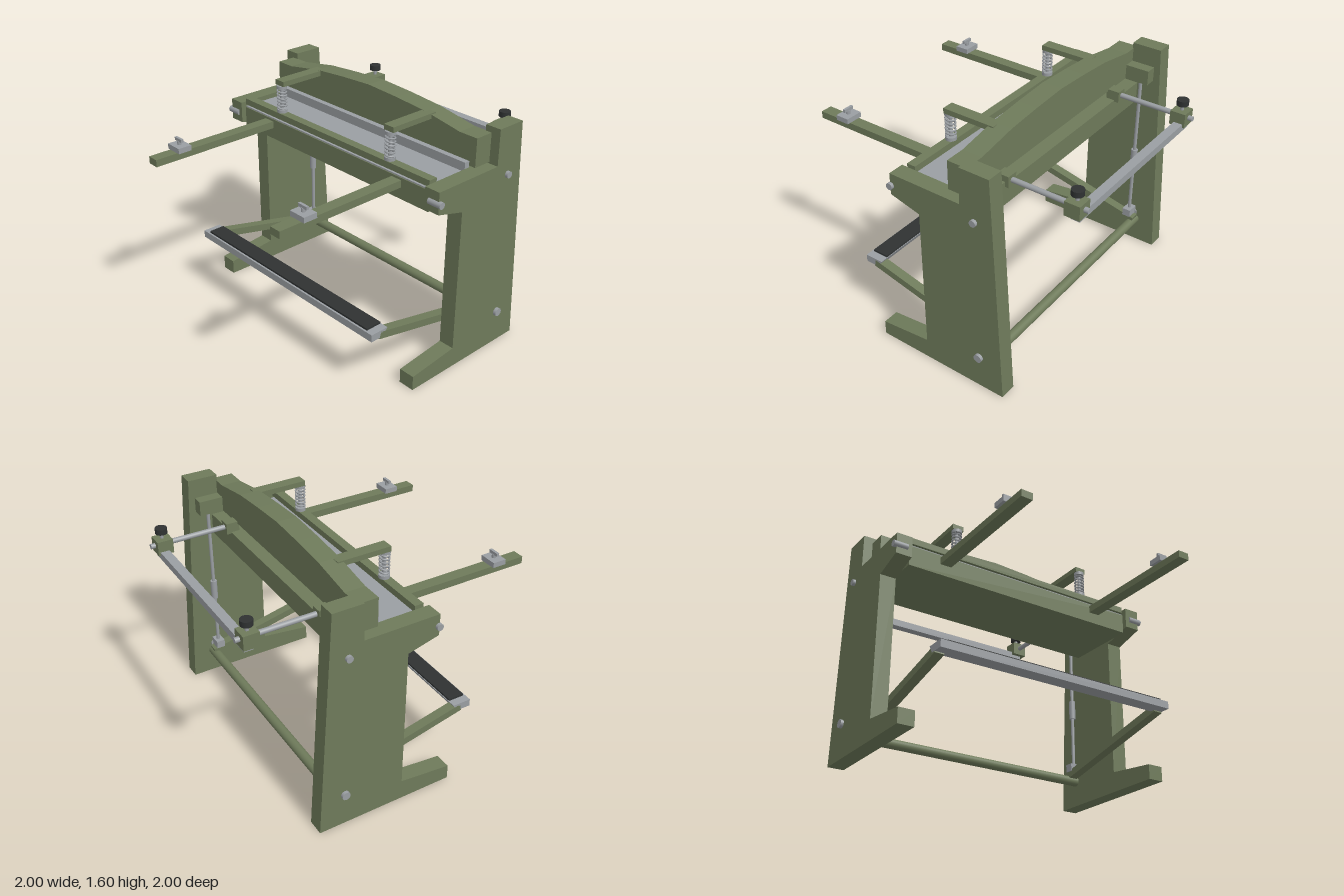
import * as THREE from 'three';

const paint = new THREE.MeshStandardMaterial({ color: 0x6e7a5a });
const steel = new THREE.MeshStandardMaterial({ color: 0x9a9ea2 });
const black = new THREE.MeshStandardMaterial({ color: 0x2f3232 });

export function createModel() {
  const model = new THREE.Group();
  model.name = 'treadleShear';

  const add = (name, geometry, material) => {
    const mesh = new THREE.Mesh(geometry, material);
    mesh.name = name;
    model.add(mesh);
    return mesh;
  };
  // Box given by its limits on each axis
  const box = (name, mat, x0, x1, y0, y1, z0, z1) => {
    const m = add(name, new THREE.BoxGeometry(Math.abs(x1 - x0), y1 - y0, z1 - z0), mat);
    m.position.set((x0 + x1) / 2, (y0 + y1) / 2, (z0 + z1) / 2);
    return m;
  };
  // Cylinder between two points
  const rod = (name, mat, r, a, b, sides = 24) => {
    const p = new THREE.Vector3(...a), q = new THREE.Vector3(...b);
    const dir = q.clone().sub(p);
    const m = add(name, new THREE.CylinderGeometry(r, r, dir.length(), sides), mat);
    m.position.copy(p).add(q).multiplyScalar(0.5);
    m.quaternion.setFromUnitVectors(new THREE.Vector3(0, 1, 0), dir.normalize());
    return m;
  };
  const extrude = (points, depth) => new THREE.ExtrudeGeometry(
    new THREE.Shape(points.map(([x, y]) => new THREE.Vector2(x, y))),
    { depth, bevelEnabled: false });

  // Side frame profile, drawn as (-z, y)
  const frame = [[-0.26, 0], [0.69, 0], [0.605, 1.56], [0.4, 1.56], [0.4, 1.32],
    [-0.11, 1.32], [-0.11, 1.175], [0.1, 1.12], [0.1, 0.14], [-0.26, 0.1]];

  // Steel coil around the hold-down rod
  const coil = [];
  for (let i = 0; i <= 96; i++) {
    const t = i / 96, a = t * Math.PI * 2 * 6;
    coil.push(new THREE.Vector3(Math.cos(a) * 0.03, 1.37 + t * 0.14, Math.sin(a) * 0.03));
  }
  const coilGeometry = new THREE.TubeGeometry(new THREE.CatmullRomCurve3(coil), 192, 0.006, 6);

  for (const s of [1, -1]) {
    const side = s > 0 ? 'left' : 'right';

    // Frame and its pins
    const f = add(side + 'SideFrame', extrude(frame, 0.11), paint);
    f.rotation.y = Math.PI / 2;
    f.position.x = s > 0 ? 0.87 : -0.98;
    rod(side + 'FrontPin', steel, 0.022, [s * 0.9, 1.24, 0.103], [s, 1.24, 0.103]);
    rod(side + 'UpperPin', steel, 0.022, [s * 0.9, 1.24, -0.5], [s, 1.24, -0.5]);
    rod(side + 'LowerPin', steel, 0.028, [s * 0.86, 0.235, -0.515], [s, 0.235, -0.515]);

    // Pull rod linking the blade beam and the treadle
    box(side + 'PullBlock', paint, s * 0.79, s * 0.868, 1.33, 1.43, -0.57, -0.4);
    rod(side + 'PullRod', steel, 0.012, [s * 0.83, 0.26, -0.5], [s * 0.83, 1.34, -0.5], 16);
    rod(side + 'Turnbuckle', steel, 0.023, [s * 0.83, 0.645, -0.5], [s * 0.83, 0.785, -0.5], 16);
    box(side + 'PullRodFork', steel, s * 0.785, s * 0.868, 0.235, 0.29, -0.53, -0.47);

    // Treadle arm
    const arm = box(side + 'TreadleArm', paint, s * 0.79, s * 0.855, -0.025, 0.025, -0.5, 0.5);
    arm.scale.z = 1.0;
    arm.rotation.x = -Math.atan(0.225);
    arm.position.set(s * 0.8225, 0.316, -0.06);

    // Sheet support arm with sliding stop
    const x = s * 0.605;
    box(side + 'SupportArm', paint, x - 0.04, x + 0.04, 1.217, 1.265, 0.06, 1.0);
    box(side + 'ArmStop', steel, x - 0.06, x + 0.06, 1.265, 1.3, 0.75, 0.845);
    rod(side + 'StopScrew', steel, 0.014, [x, 1.3, 0.798], [x, 1.325, 0.798], 16);
    box(side + 'StopWing', steel, x - 0.036, x + 0.036, 1.322, 1.343, 0.789, 0.807);

    // Back gauge rod, clamp and knob
    box(side + 'GaugeMount', paint, x - 0.037, x + 0.037, 1.27, 1.345, -0.485, -0.395);
    rod(side + 'GaugeRod', steel, 0.017, [x, 1.31, -0.44], [x, 1.31, -1]);
    box(side + 'GaugeClamp', paint, x - 0.052, x + 0.052, 1.257, 1.352, -0.97, -0.866);
    rod(side + 'KnobStem', steel, 0.012, [x, 1.35, -0.92], [x, 1.39, -0.92], 16);
    rod(side + 'GaugeKnob', black, 0.039, [x, 1.388, -0.92], [x, 1.425, -0.92], 20);

    // Spring-loaded hold-down
    const h = s * 0.51;
    box(side + 'SpringArm', paint, h - 0.04, h + 0.04, 1.532, 1.567, -0.31, 0.055);
    const spring = add(side + 'Spring', coilGeometry, steel);
    spring.position.set(h, 0, 0.037);
    rod(side + 'SpringRod', steel, 0.012, [h, 1.34, 0.037], [h, 1.54, 0.037], 16);
    rod(side + 'SpringSeat', steel, 0.035, [h, 1.343, 0.037], [h, 1.365, 0.037]);
    rod(side + 'SpringCap', steel, 0.035, [h, 1.51, 0.037], [h, 1.532, 0.037]);
  }

  // Bed, steel table top and hold-down bar
  box('bed', paint, -0.87, 0.87, 1.14, 1.28, -0.455, 0.075);
  box('tablePlate', steel, -0.868, 0.868, 1.28, 1.288, -0.27, 0.07);
  box('holdDownBar', paint, -0.868, 0.868, 1.3, 1.343, 0.012, 0.072);

  // Arched blade beam and blade
  const beam = extrude([[-0.915, 1.33], [0.915, 1.33], [0.915, 1.52], [0.78, 1.52],
    [0.5, 1.567], [0.25, 1.587], [0, 1.6], [-0.25, 1.587], [-0.5, 1.567],
    [-0.78, 1.52], [-0.915, 1.52]], 0.135);
  add('bladeBeam', beam, paint).position.z = -0.405;
  box('blade', steel, -0.868, 0.868, 1.3, 1.36, -0.27, -0.232);

  // Back gauge bar
  box('gaugeBar', steel, -0.63, 0.63, 1.23, 1.28, -0.957, -0.897);

  // Treadle shaft, foot bar and pad
  rod('treadleShaft', paint, 0.033, [-0.87, 0.178, -0.53], [0.87, 0.178, -0.53]);
  const bar = add('footBar', extrude([[-0.5, 0.41], [-0.4, 0.41], [-0.37, 0.46], [-0.5, 0.46]], 1.71), steel);
  bar.rotation.y = Math.PI / 2;
  bar.position.x = -0.855;
  box('footPad', black, -0.8, 0.8, 0.46, 0.473, 0.375, 0.487);

  return model;
}
